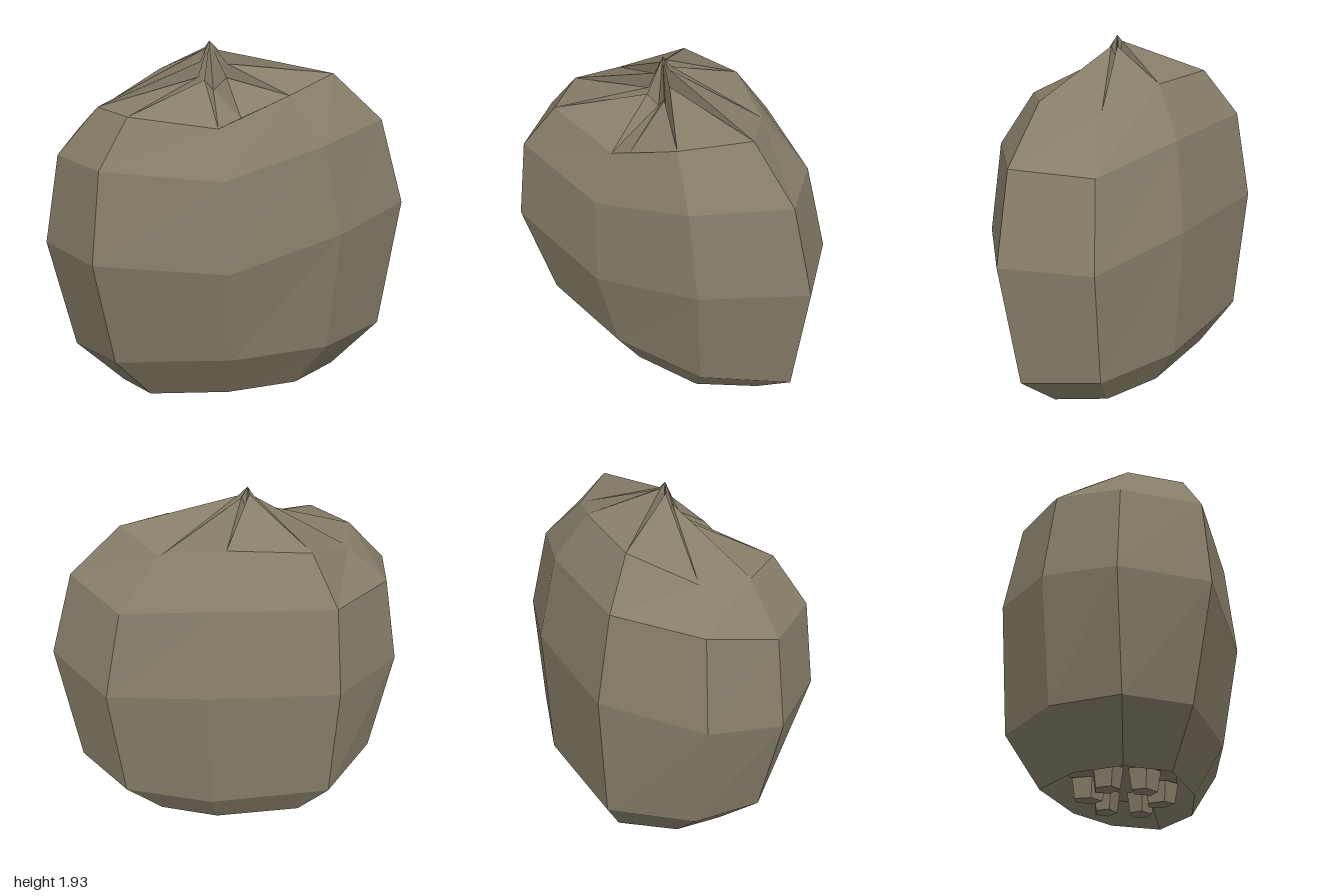
import * as THREE from 'three';

// Each ring runs left edge -> front -> right edge -> back, as [x, y, z].
const base = [[-.6, .08], [-.47, .3], [-.04, .36], [.36, .3], [.64, .08], [.5, -.18], [.2, -.34], [-.28, -.41], [-.53, -.18]]
  .map(([x, z]) => [x, .01, z]);
const low = [[-.86, .12], [-.67, .43], [-.05, .52], [.5, .43], [.9, .13], [.71, -.25], [.27, -.48], [-.4, -.57], [-.77, -.25]]
  .map(([x, z]) => [x, .27, z]);
const belly = [[-1, .87, .12], [-.78, .86, .55], [-.09, .79, .62], [.54, .94, .51], [1, 1.01, .17],
  [.78, .96, -.26], [.28, 1.04, -.52], [-.41, 1.0, -.62], [-.87, .92, -.28]];
const chest = [[-.92, 1.35, .12], [-.73, 1.34, .51], [-.11, 1.27, .57], [.45, 1.42, .48], [.86, 1.49, .17],
  [.67, 1.44, -.21], [.22, 1.52, -.44], [-.4, 1.48, -.53], [-.79, 1.42, -.24]];
const shoulder = [[-.7, 1.6, .12], [-.57, 1.59, .4], [-.11, 1.52, .44], [.28, 1.67, .37], [.58, 1.75, .15],
  [.43, 1.69, -.12], [.12, 1.77, -.29], [-.31, 1.73, -.36], [-.6, 1.6, -.13]];
// Inner end of the panel that follows each shoulder corner
const neck = [[-.16, 1.74, .1], [-.13, 1.73, .14], [-.01, 1.74, .14], [.0, 1.81, .11], [-.04, 1.88, .07],
  [-.05, 1.88, .04], [-.09, 1.9, .03], [-.12, 1.88, .04], [-.14, 1.82, .07]];
const apex = [-.09, 1.93, .06];
const N = base.length;

function flatMesh(name, triangles, material) {
  const geometry = new THREE.BufferGeometry();
  geometry.setAttribute('position', new THREE.Float32BufferAttribute(triangles.flat(2), 3));
  geometry.computeVertexNormals();
  const mesh = new THREE.Mesh(geometry, material);
  mesh.name = name;
  return mesh;
}

// Band of faces between two rings
function band(lower, upper) {
  return lower.flatMap((a, i) => {
    const j = (i + 1) % N;
    return [[a, lower[j], upper[j]], [a, upper[j], upper[i]]];
  });
}

const mix = (a, b, t) => a.map((v, k) => v + (b[k] - v) * t);

export function createModel() {
  const model = new THREE.Group();
  model.name = 'sack';
  const cloth = new THREE.MeshStandardMaterial({ color: 0x877e69, flatShading: true, side: THREE.DoubleSide });
  cloth.name = 'greyBrownCloth';

  // Bulging faceted body
  const rings = [base, low, belly, chest, shoulder];
  const sides = [];
  for (let i = 0; i < rings.length - 1; i++) sides.push(...band(rings[i], rings[i + 1]));
  model.add(flatMesh('body', sides, cloth));

  // Gathered top: panels rising to the neck, with a sunken pleat at each corner
  const panels = [], pleats = [], knot = [];
  for (let i = 0; i < N; i++) {
    const j = (i + 1) % N, prev = neck[(i + N - 1) % N];
    const start = shoulder[i];
    // The front pleat opens wider at its foot
    const foot = i === 2 ? [.01, 1.57, .43] : start;
    panels.push([foot, shoulder[j], neck[i]]);
    const valley = mix(mix(prev, neck[i], .5), apex, .35);
    valley[1] = Math.min(prev[1], neck[i][1]) - .06;
    pleats.push([start, valley, prev], [foot, neck[i], valley]);
    if (i === 2) pleats.push([start, foot, valley]);
    knot.push([valley, neck[i], apex], [prev, valley, apex]);
  }
  model.add(flatMesh('topPanels', panels, cloth));
  model.add(flatMesh('topPleats', pleats, cloth));
  model.add(flatMesh('topKnot', knot, cloth));

  // Hollow underside, turned in and up from the base ring
  const inner = base.map(([x, , z]) => [x * .74, .12, z * .74]);
  const hollow = band(inner, base).map(([a, b, c]) => [a, b, c]);
  inner.forEach((p, i) => hollow.push([p, inner[(i + 1) % N], [0, .1, 0]]));
  model.add(flatMesh('undersideHollow', hollow, cloth));

  // Angular lumps gathered under the base
  const lumps = new THREE.Group();
  lumps.name = 'undersideLumps';
  for (let i = 0; i < 6; i++) {
    const angle = i * Math.PI / 3 + .25;
    const lump = new THREE.Mesh(new THREE.CylinderGeometry(.1, .08, .11, 5), cloth);
    lump.name = 'lump';
    lump.position.set(Math.cos(angle) * .26, .055, Math.sin(angle) * .19 - .02);
    lump.rotation.y = i * 1.3;
    lump.scale.z = .8;
    lumps.add(lump);
  }
  model.add(lumps);
  return model;
}
